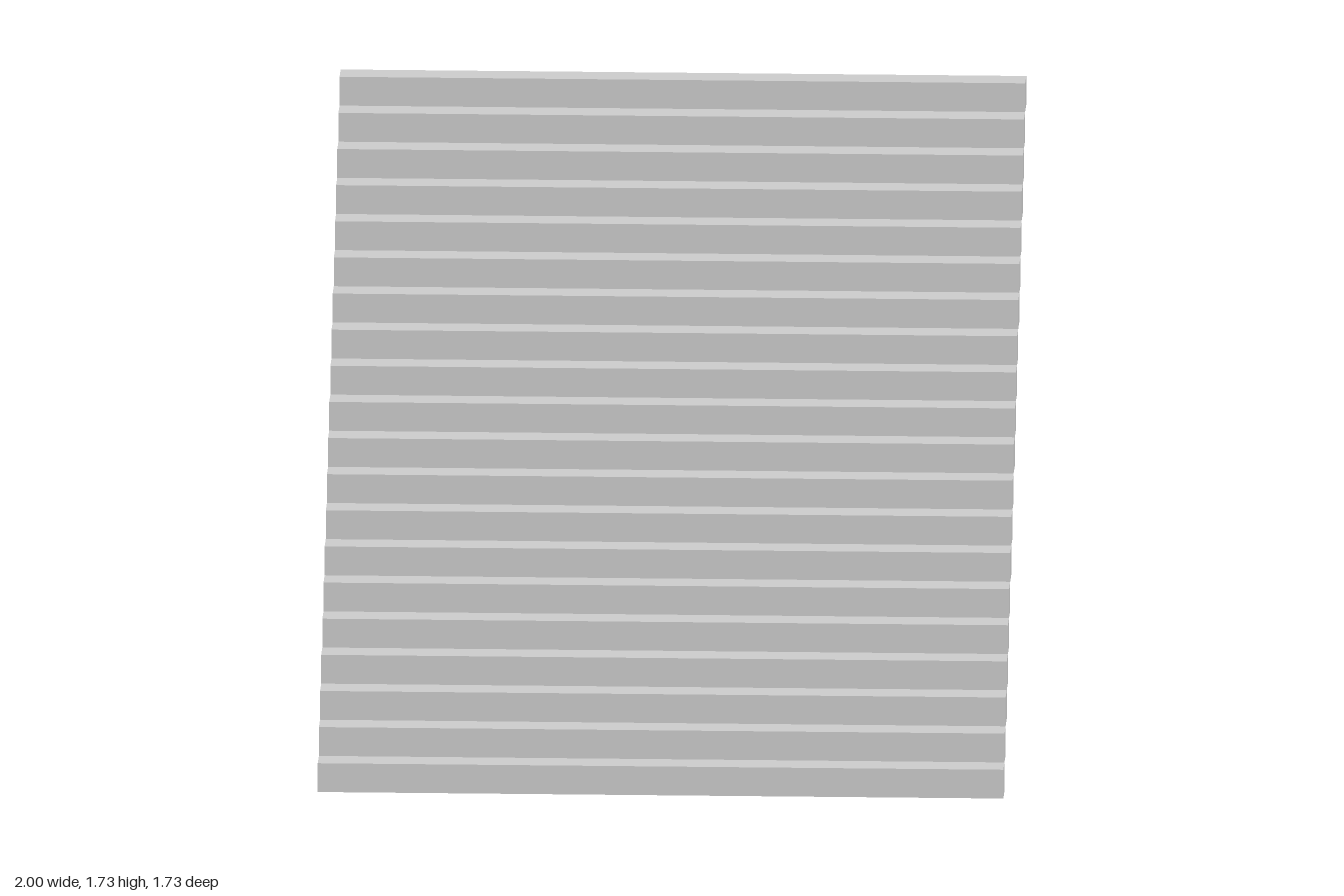
import * as THREE from 'three';

const STEPS = 20;
const SIZE = 0.0866; // rise and run of each step
const WIDTH = 2;

export function createModel() {
  const group = new THREE.Group();
  group.name = 'staircase';
  const material = new THREE.MeshStandardMaterial({
    color: 0xcccccc, flatShading: true, side: THREE.DoubleSide,
  });
  const board = new THREE.PlaneGeometry(WIDTH, SIZE);
  const square = new THREE.PlaneGeometry(SIZE, SIZE);

  const addPanel = (parent, name, geometry, position, rotation) => {
    const panel = new THREE.Mesh(geometry, material);
    panel.name = name;
    panel.position.set(...position);
    panel.rotation.set(...rotation);
    parent.add(panel);
  };

  // Thin steps climbing to the back, open behind and underneath
  for (let i = 0; i < STEPS; i++) {
    const step = new THREE.Group();
    step.name = `step${i + 1}`;
    step.position.set(0, (i + 0.5) * SIZE, ((STEPS - 1) / 2 - i) * SIZE);
    addPanel(step, 'riser', board, [0, 0, SIZE / 2], [0, 0, 0]);
    addPanel(step, 'tread', board, [0, SIZE / 2, 0], [-Math.PI / 2, 0, 0]);
    addPanel(step, 'leftEnd', square, [WIDTH / 2, 0, 0], [0, Math.PI / 2, 0]);
    addPanel(step, 'rightEnd', square, [-WIDTH / 2, 0, 0], [0, -Math.PI / 2, 0]);
    group.add(step);
  }
  return group;
}
